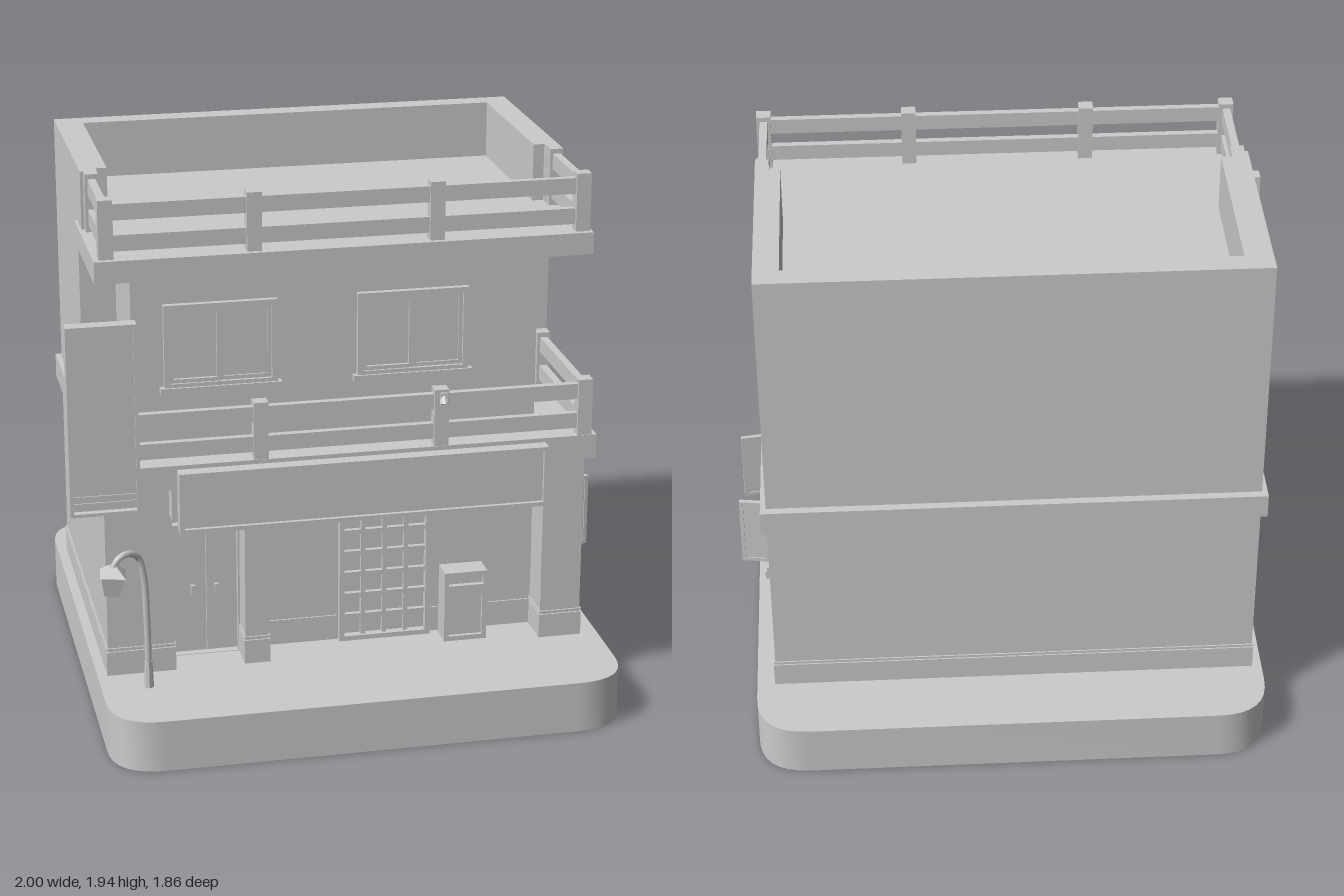
import * as THREE from 'three';

const mat = new THREE.MeshStandardMaterial({ color: 0xcccccc, flatShading: true });
const matTwoSided = new THREE.MeshStandardMaterial({ color: 0xcccccc, side: THREE.DoubleSide });

function add(parent, name, geo, m = mat) {
  const mesh = new THREE.Mesh(geo, m);
  mesh.name = name;
  parent.add(mesh);
  return mesh;
}

// Box given by its extents
function box(parent, name, x0, x1, y0, y1, z0, z1) {
  const mesh = add(parent, name, new THREE.BoxGeometry(x1 - x0, y1 - y0, z1 - z0));
  mesh.position.set((x0 + x1) / 2, (y0 + y1) / 2, (z0 + z1) / 2);
  return mesh;
}

function group(parent, name) {
  const g = new THREE.Group();
  g.name = name;
  parent.add(g);
  return g;
}

// Rectangular frame in the xy plane, its back at z
function frame(parent, name, x0, x1, y0, y1, z, depth, w) {
  const s = new THREE.Shape([[x0, y0], [x1, y0], [x1, y1], [x0, y1]].map(p => new THREE.Vector2(...p)));
  s.holes.push(new THREE.Path([[x0 + w, y0 + w], [x0 + w, y1 - w], [x1 - w, y1 - w], [x1 - w, y0 + w]]
    .map(p => new THREE.Vector2(...p))));
  const mesh = add(parent, name, new THREE.ExtrudeGeometry(s, { depth, bevelEnabled: false }));
  mesh.position.z = z;
  return mesh;
}

// Two-pane sliding window facing +z, centred on x = 0, standing on y = 0
function slidingWindow(parent, name, width, height) {
  const g = group(parent, name);
  const h = width / 2;
  frame(g, 'windowFrame', -h, h, 0, height, 0, 0.022, 0.02);
  box(g, 'windowGlass', -h + 0.01, h - 0.01, 0.01, height - 0.01, -0.01, 0.003);
  for (const s of [-1, 1]) {
    const c = s * (h - 0.02) / 2, half = (h - 0.02) / 2;
    frame(g, 'windowSash', c - half, c + half, 0.02, height - 0.02, 0.002, s > 0 ? 0.008 : 0.013, 0.014);
  }
  box(g, 'windowSill', -h - 0.015, h + 0.015, -0.018, 0.006, 0, 0.03);
  return g;
}

// Balcony railing: posts along the front and at the wall ends, two rails on three sides
function railing(parent, name, y, zFront, zWall) {
  const g = group(parent, name);
  const z0 = zFront - 0.04;
  for (const x of [-0.835, -0.32, 0.328, 0.855])
    box(g, 'railPost', x - 0.026, x + 0.026, y, y + 0.21, z0 - 0.005, zFront + 0.005);
  for (const x of [-0.835, 0.855])
    box(g, 'railWallPost', x - 0.024, x + 0.024, y, y + 0.21, zWall - 0.01, zWall + 0.04);
  for (const r of [0.025, 0.135]) {
    box(g, 'frontRail', -0.83, 0.85, y + r, y + r + 0.057, z0 + 0.007, zFront - 0.007);
    for (const x of [-0.835, 0.855])
      box(g, 'sideRail', x - 0.014, x + 0.014, y + r, y + r + 0.057, zWall, z0 + 0.01);
  }
}

function buildBase(root) {
  const r = 0.19, x0 = -0.91, x1 = 0.95, z = 0.93;
  const s = new THREE.Shape();
  s.moveTo(x0 + r, -z);
  s.lineTo(x1 - r, -z).quadraticCurveTo(x1, -z, x1, -z + r);
  s.lineTo(x1, z - r).quadraticCurveTo(x1, z, x1 - r, z);
  s.lineTo(x0 + r, z).quadraticCurveTo(x0, z, x0, z - r);
  s.lineTo(x0, -z + r).quadraticCurveTo(x0, -z, x0 + r, -z);
  const pts = s.getPoints(8).slice(0, -1);
  // Open-bottomed slab: a top face and a wall ring
  const top = add(root, 'baseTop', new THREE.ShapeGeometry(s, 8), matTwoSided);
  top.rotation.x = -Math.PI / 2;
  top.position.y = 0.19;
  const pos = [], idx = [];
  pts.forEach((p, i) => {
    const n = pts.length, a = i * 2, b = ((i + 1) % n) * 2;
    pos.push(p.x, 0, -p.y, p.x, 0.19, -p.y);
    idx.push(a, b, a + 1, b, b + 1, a + 1);
  });
  const wall = new THREE.BufferGeometry();
  wall.setAttribute('position', new THREE.Float32BufferAttribute(pos, 3));
  wall.setIndex(idx);
  wall.computeVertexNormals();
  add(root, 'baseWall', wall, matTwoSided);
}

function buildGroundFloor(root) {
  const g = group(root, 'groundFloor');
  box(g, 'groundFloorBody', -0.87, 0.88, 0.19, 0.92, -0.66, 0.38);
  box(g, 'rearPlinth', -0.875, 0.885, 0.19, 0.28, -0.665, 0.37);
  box(g, 'plinthTrim', -0.875, 0.885, 0.286, 0.294, -0.665, 0.37);
  // Front pillars with plinths
  for (const [a, b] of [[-0.87, -0.63], [-0.37, -0.285], [0.73, 0.88]]) {
    box(g, 'pillar', a, b, 0.19, 0.92, 0.37, 0.52);
    box(g, 'pillarPlinth', a - 0.005, b + 0.005, 0.19, 0.28, 0.36, 0.526);
    box(g, 'pillarTrim', a - 0.005, b + 0.005, 0.286, 0.294, 0.36, 0.526);
  }
  for (const [a, b] of [[-0.28, -0.005], [0.345, 0.725]])
    box(g, 'recessPlinth', a, b, 0.19, 0.285, 0.37, 0.386);
  box(g, 'lintel', -0.64, 0.74, 0.79, 0.915, 0.37, 0.59);
  box(g, 'floorLedge', -0.89, 0.90, 0.91, 1.0, -0.69, 0.59);

  // Double door with handles
  const door = group(g, 'doubleDoor');
  frame(door, 'doorFrame', -0.63, -0.355, 0.17, 0.70, 0.375, 0.035, 0.022);
  for (const [a, b] of [[-0.607, -0.496], [-0.49, -0.379]])
    box(door, 'doorLeaf', a, b, 0.20, 0.672, 0.37, 0.395);
  for (const x of [-0.54, -0.455])
    box(door, 'doorHandle', x - 0.008, x + 0.008, 0.42, 0.46, 0.39, 0.41);

  // Lattice screen
  const lattice = group(g, 'latticeScreen');
  frame(lattice, 'latticeFrame', 0, 0.34, 0.19, 0.70, 0.375, 0.035, 0.018);
  for (let i = 1; i < 4; i++)
    box(lattice, 'latticeUpright', 0.08 * i + 0.002, 0.08 * i + 0.018, 0.2, 0.69, 0.375, 0.398);
  for (let i = 1; i < 6; i++)
    box(lattice, 'latticeBar', 0.01, 0.33, 0.19 + 0.083 * i, 0.208 + 0.083 * i, 0.375, 0.398);

  // Drinks-style cabinet beside the screen
  const cab = group(g, 'cabinet');
  box(cab, 'cabinetBody', 0.385, 0.525, 0.19, 0.45, 0.38, 0.475);
  frame(cab, 'cabinetFrontFrame', 0.375, 0.535, 0.19, 0.38, 0.40, 0.09, 0.018);
  frame(cab, 'cabinetHood', 0.375, 0.535, 0.38, 0.46, 0.40, 0.09, 0.015);
  box(cab, 'cabinetShelf', 0.39, 0.52, 0.395, 0.41, 0.45, 0.495);

  // Shop sign
  box(g, 'signBoard', -0.61, 0.70, 0.77, 0.97, 0.58, 0.625);
  frame(g, 'signFrame', -0.62, 0.71, 0.76, 0.985, 0.585, 0.055, 0.016);

  // Side window with open shutters
  const side = group(g, 'sideWindow');
  const w = slidingWindow(side, 'sideWindowPanes', 0.5, 0.31);
  w.rotation.y = Math.PI / 2;
  w.position.set(0.88, 0.40, 0.01);
  box(side, 'sideWindowSill', 0.88, 0.915, 0.36, 0.39, -0.26, 0.27);
  for (const s of [-1, 1]) {
    const sh = group(side, 'shutter');
    frame(sh, 'shutterFrame', 0, 0.105, 0.41, 0.685, -0.008, 0.016, 0.014);
    box(sh, 'shutterPanel', 0.005, 0.1, 0.415, 0.68, -0.004, 0.004);
    sh.position.set(0.895, 0, s > 0 ? 0.21 : -0.215);
    sh.rotation.y = s * 0.15;
  }
}

function buildUpperFloor(root) {
  const g = group(root, 'upperFloor');
  box(g, 'upperRearBlock', -0.87, 0.88, 0.99, 1.73, -0.66, 0);
  box(g, 'upperFrontBlock', -0.74, 0.73, 0.99, 1.66, -0.05, 0.37);
  for (const x of [-0.425, 0.27]) slidingWindow(g, 'upperWindow', 0.405, 0.31).position.set(x, 1.21, 0.37);
  box(g, 'roofSlab', -0.88, 0.89, 1.65, 1.73, -0.02, 0.51);
  // Parapet round the back half of the roof
  box(g, 'parapetBack', -0.87, 0.88, 1.72, 1.94, -0.66, -0.58);
  box(g, 'parapetRight', -0.87, -0.77, 1.72, 1.94, -0.6, 0.07);
  box(g, 'parapetLeft', 0.79, 0.88, 1.72, 1.94, -0.6, 0.07);
  box(g, 'parapetEndRight', -0.87, -0.81, 1.72, 1.94, 0.06, 0.105);
  box(g, 'parapetEndLeft', 0.83, 0.88, 1.72, 1.94, 0.06, 0.105);
  railing(g, 'balconyRailing', 1.0, 0.583, 0.01);
  railing(g, 'roofRailing', 1.73, 0.485, 0.105);
}

function buildFixtures(root) {
  // Upright hanging sign
  const sign = group(root, 'hangingSign');
  box(sign, 'hangingSignPanel', -0.99, -0.765, 0.87, 1.53, 0.586, 0.624);
  frame(sign, 'hangingSignFrame', -1, -0.755, 0.85, 1.54, 0.58, 0.05, 0.012);
  for (const y of [0.89, 0.915]) box(sign, 'hangingSignBand', -0.995, -0.76, y, y + 0.01, 0.582, 0.629);

  // Street lamp with a curved neck
  const lamp = group(root, 'streetLamp');
  const path = new THREE.CatmullRomCurve3([
    [-0.742, 0.19, 0.64], [-0.745, 0.45, 0.645], [-0.755, 0.63, 0.652], [-0.775, 0.70, 0.66],
    [-0.815, 0.725, 0.685], [-0.855, 0.71, 0.705], [-0.87, 0.675, 0.71],
  ].map(p => new THREE.Vector3(...p)));
  add(lamp, 'lampPole', new THREE.TubeGeometry(path, 28, 0.012, 8), matTwoSided);
  add(lamp, 'lampFoot', new THREE.CylinderGeometry(0.014, 0.018, 0.1, 8)).position.set(-0.742, 0.24, 0.64);
  const head = group(lamp, 'lampHead');
  add(head, 'lampShade', new THREE.CylinderGeometry(0.058, 0.038, 0.075, 4)).position.y = -0.05;
  add(head, 'lampCap', new THREE.CylinderGeometry(0.02, 0.064, 0.03, 4)).position.y = 0;
  head.position.set(-0.868, 0.678, 0.71);
  head.rotation.set(0.06, 0.65, -0.08);

  // Small spotlight on the balcony rail
  const spot = group(root, 'spotlight');
  box(spot, 'spotlightArm', 0.322, 0.346, 1.185, 1.2, 0.57, 0.6);
  const bulb = add(spot, 'spotlightHead', new THREE.CylinderGeometry(0.012, 0.018, 0.03, 8));
  bulb.position.set(0.334, 1.175, 0.595);
  bulb.rotation.x = -0.4;
}

export function createModel() {
  const root = new THREE.Group();
  root.name = 'shopBuilding';
  buildBase(root);
  buildGroundFloor(root);
  buildUpperFloor(root);
  buildFixtures(root);
  return root;
}
